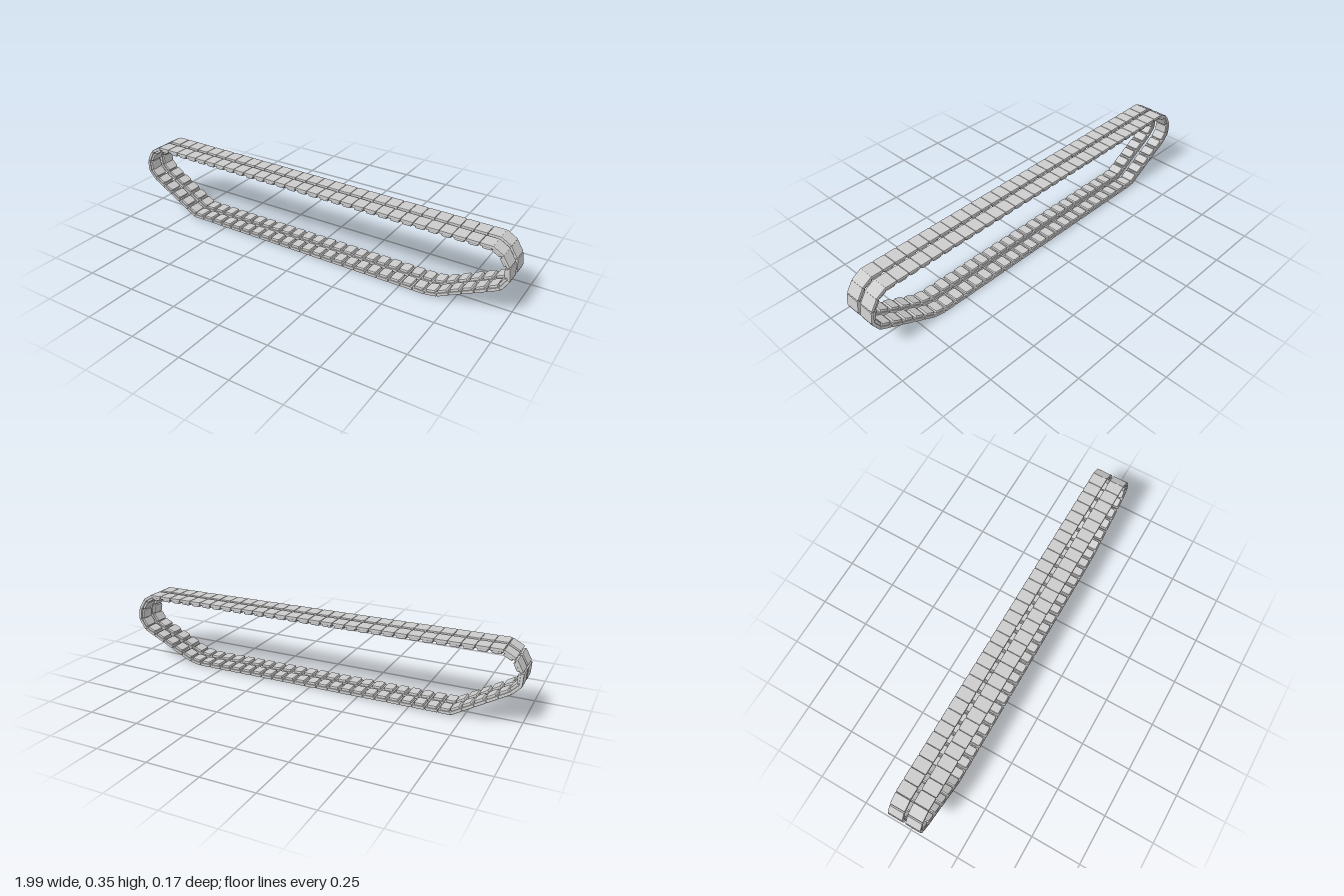
import * as THREE from 'three';

// Rounded slab: length along x, width along z, lying from y = 0 down to y = -height
function slab(length, width, height, bevel, radius) {
  const a = length / 2 - bevel, b = width / 2 - bevel, r = radius;
  const s = new THREE.Shape();
  s.moveTo(-a + r, -b);
  s.lineTo(a - r, -b);
  s.quadraticCurveTo(a, -b, a, -b + r);
  s.lineTo(a, b - r);
  s.quadraticCurveTo(a, b, a - r, b);
  s.lineTo(-a + r, b);
  s.quadraticCurveTo(-a, b, -a, b - r);
  s.lineTo(-a, -b + r);
  s.quadraticCurveTo(-a, -b, -a + r, -b);
  const g = new THREE.ExtrudeGeometry(s, {
    depth: height - 2 * bevel, bevelEnabled: true, bevelSize: bevel,
    bevelThickness: bevel, bevelSegments: 2, curveSegments: 2,
  });
  g.translate(0, 0, bevel);
  g.rotateX(Math.PI / 2);
  return g;
}

export function createModel() {
  const group = new THREE.Group();
  group.name = 'trackBelt';
  const material = new THREE.MeshStandardMaterial({ color: 0xcccccc, flatShading: true });

  // Outer line of the belt, clockwise: x, y, number of links to the next corner
  const corners = [
    [-0.905, 0.357, 30], [0.91, 0.340, 1], [0.955, 0.313, 1], [0.99, 0.258, 1],
    [0.997, 0.197, 1], [0.963, 0.143, 5], [0.685, 0.012, 1], [0.625, 0.002, 22],
    [-0.70, 0.009, 5], [-0.955, 0.16, 1], [-0.995, 0.202, 1], [-0.998, 0.262, 1],
    [-0.963, 0.325, 1],
  ];

  // Each link is an outer plate with a smaller raised pad on the inside
  const plate = slab(0.0595, 0.075, 0.015, 0.003, 0.003);
  const pad = slab(0.046, 0.066, 0.018, 0.005, 0.005);
  pad.translate(0, -0.009, 0);

  corners.forEach(([x0, y0, count], i) => {
    const [x1, y1] = corners[(i + 1) % corners.length];
    for (let k = 0; k < count; k++) {
      const t = (k + 0.5) / count;
      const link = new THREE.Group();
      link.name = 'trackLink';
      link.position.set(x0 + (x1 - x0) * t, y0 + (y1 - y0) * t, 0);
      link.rotation.z = Math.atan2(y1 - y0, x1 - x0);
      // Two halves with a slot between them
      for (const side of [-1, 1]) {
        const outer = new THREE.Mesh(plate, material);
        outer.name = 'linkPlate';
        const inner = new THREE.Mesh(pad, material);
        inner.name = 'linkPad';
        outer.position.z = inner.position.z = side * 0.0455;
        link.add(outer, inner);
      }
      group.add(link);
    }
  });
  return group;
}
